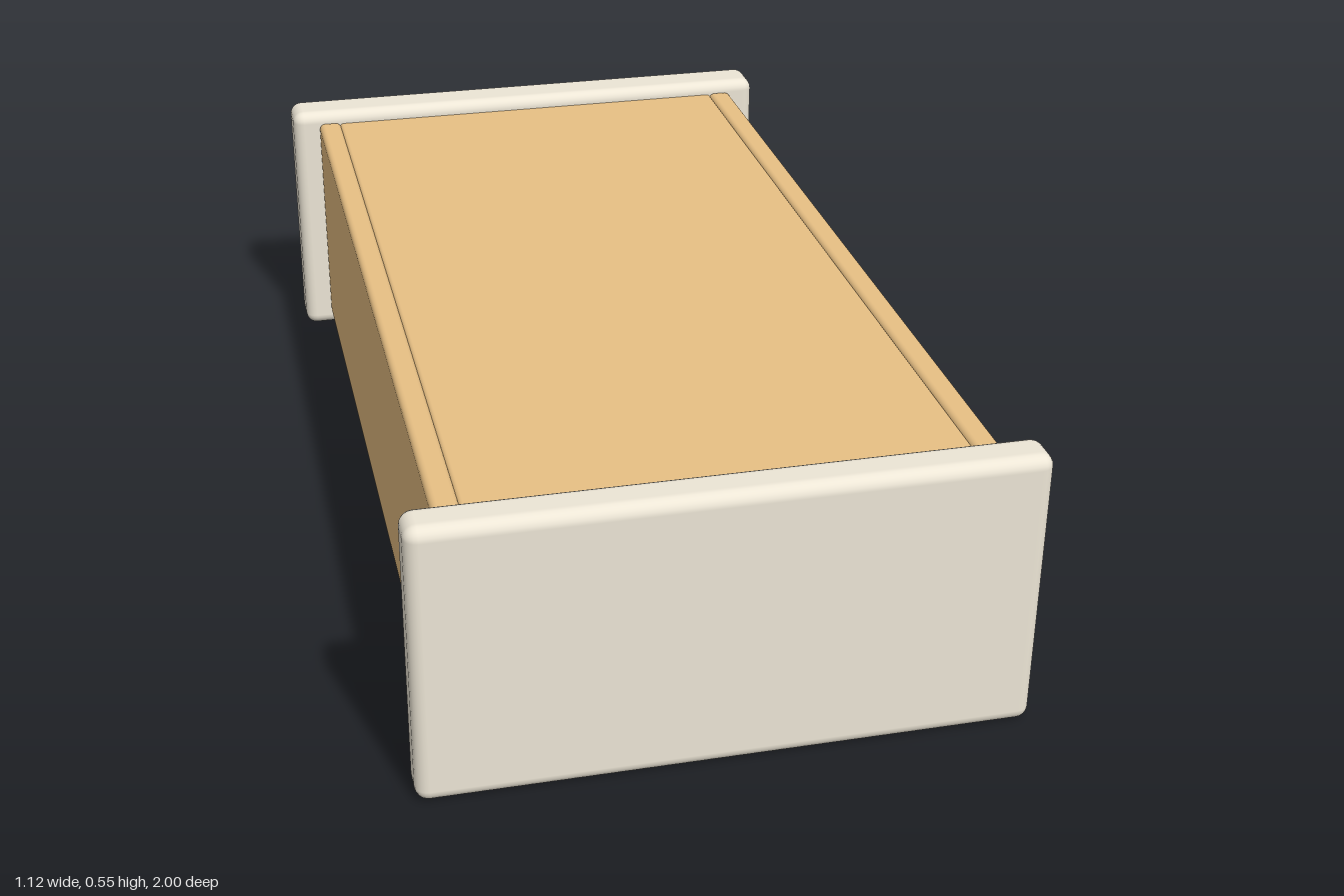
import * as THREE from 'three';
import { RoundedBoxGeometry } from 'three/addons/geometries/RoundedBoxGeometry.js';

const mat = (color) => new THREE.MeshStandardMaterial({ color });
const cream = mat(0xede6d6), wood = mat(0xe8c084), trim = mat(0xc87a1c);
const pink = mat(0xe06c78), green = mat(0x6cc8a0), purple = mat(0x9484c8);

function add(parent, name, geometry, material, x = 0, y = 0, z = 0) {
  const mesh = new THREE.Mesh(geometry, material);
  mesh.name = name;
  mesh.position.set(x, y, z);
  parent.add(mesh);
  return mesh;
}

// Box given by its limits on each axis, with rounded edges when r > 0
function box(parent, name, material, [x0, x1], [y0, y1], [z0, z1], r = 0) {
  const s = [x1 - x0, y1 - y0, z1 - z0];
  const g = r ? new RoundedBoxGeometry(...s, 3, r) : new THREE.BoxGeometry(...s);
  return add(parent, name, g, material, (x0 + x1) / 2, (y0 + y1) / 2, (z0 + z1) / 2);
}

// Rod along 'x', 'y' or 'z' with round ends
function rod(parent, name, material, axis, length, r, x, y, z) {
  const g = new THREE.CapsuleGeometry(r, length - 2 * r, 6, 14);
  if (axis === 'x') g.rotateZ(Math.PI / 2);
  if (axis === 'z') g.rotateX(Math.PI / 2);
  return add(parent, name, g, material, x, y, z);
}

// Panelled door facing down, with two nested trim frames
function door(parent, name, [x0, x1], [z0, z1], handleX, handleZ) {
  const g = new THREE.Group();
  g.name = name;
  parent.add(g);
  box(g, 'doorPanel', wood, [x0, x1], [0.032, 0.05], [z0, z1], 0.006);
  [[0, 0.022, 0.022], [0.04, 0.012, 0.026]].forEach(([inset, w, y]) => {
    const a = x0 + inset, b = x1 - inset, c = z0 + inset, d = z1 - inset;
    for (const x of [a, b - w]) box(g, 'doorTrim', trim, [x, x + w], [y, 0.04], [c, d], 0.004);
    for (const z of [c, d - w]) box(g, 'doorTrim', trim, [a, b], [y, 0.04], [z, z + w], 0.004);
  });
  rod(g, 'doorHandle', trim, 'z', 0.2, 0.01, handleX, 0.023, handleZ);
  return g;
}

export function createModel() {
  const model = new THREE.Group();
  model.name = 'cabinet';

  // End boards with trim along their lower edges
  box(model, 'frontEndBoard', cream, [-0.56, 0.56], [0, 0.55], [0.913, 1], 0.025);
  box(model, 'backEndBoard', cream, [-0.56, 0.56], [0, 0.55], [-1, -0.895], 0.025);
  for (const z of [0.95, -0.945])
    box(model, 'endBoardTrim', trim, [-0.52, 0.52], [-0.001, 0.01], [z - 0.012, z + 0.012]);
  for (const s of [-1, 1])
    box(model, 'backEdgeTrim', trim, [s * 0.45 - 0.003, s * 0.45 + 0.003], [0.04, 0.51], [-1.0005, -0.99]);

  // Carcass
  for (const s of [-1, 1])
    box(model, 'sidePanel', wood, [s * 0.475 - 0.025, s * 0.475 + 0.025], [0.03, 0.525], [-0.9, 0.918], 0.012);
  box(model, 'rearPanel', wood, [-0.452, 0.452], [0.49, 0.522], [-0.9, 0.915], 0.008);
  box(model, 'lowerCupboard', cream, [-0.45, 0.45], [0.045, 0.495], [0.33, 0.915]);
  box(model, 'upperCupboard', cream, [-0.45, 0.45], [0.045, 0.495], [-0.9, -0.41]);
  box(model, 'divider', cream, [-0.21, -0.18], [0.05, 0.495], [-0.41, 0.33]);
  box(model, 'sideShelf', cream, [-0.45, -0.21], [0.05, 0.495], [-0.04, -0.01]);

  // Doors
  for (const s of [-1, 1])
    door(model, 'lowerDoor', s < 0 ? [-0.42, -0.02] : [0.02, 0.42], [0.37, 0.86], s * 0.055, 0.61);
  door(model, 'upperDoor', [-0.42, 0.42], [-0.85, -0.45], -0.355, -0.65);
  rod(model, 'doorPost', trim, 'z', 0.5, 0.012, 0, 0.036, 0.615);

  // Paw ornament
  const paw = new THREE.Group();
  paw.name = 'pawOrnament';
  paw.position.set(0.11, 0.03, -0.66);
  model.add(paw);
  const bead = (name, r, x, z) =>
    add(paw, name, new THREE.SphereGeometry(r, 16, 10), trim, x, 0, z).scale.set(1.15, 0.3, 1);
  bead('pawPad', 0.038, 0, 0.01);
  [-0.062, -0.022, 0.022, 0.062].forEach((x, i) =>
    bead('pawToe', 0.016, x, i % 3 ? -0.055 : -0.03));

  // Stack of books on the open shelf
  [[cream, 0.295, 0.33], [green, 0.24, 0.29], [trim, 0.222, 0.238],
    [cream, 0.19, 0.22], [trim, 0.172, 0.188], [pink, 0.115, 0.17]].forEach(([m, z0, z1], i) => {
    const b = box(model, 'book', m, [-0.15, 0.38], [0.12, 0.44], [z0, z1], 0.006);
    b.rotation.z = (i % 3 - 1) * 0.03;
  });

  // Rolled towels tied with a band
  [[purple, -0.13, 0.075], [pink, 0.235, 0.09]].forEach(([m, z, r]) => {
    add(model, 'rolledTowel', new THREE.CylinderGeometry(r, r, 0.34, 24), m, -0.33, 0.26, z);
    for (const y of [0.1, 0.2])
      add(model, 'towelBand', new THREE.TorusGeometry(r, 0.009, 8, 28).rotateX(Math.PI / 2), trim, -0.33, y, z);
  });

  // Towel rail and hanging striped towel on the left side
  rod(model, 'towelRail', trim, 'y', 0.33, 0.017, 0.518, 0.277, -0.12);
  for (const y of [0.15, 0.4])
    box(model, 'railBracket', trim, [0.495, 0.52], [y - 0.012, y + 0.012], [-0.132, -0.108]);
  const back = add(model, 'towelBackLayer', new RoundedBoxGeometry(0.018, 0.29, 0.33, 2, 0.006), cream, 0.512, 0.272, 0.083);
  back.rotation.x = -0.05;
  const towel = new THREE.Group();
  towel.name = 'towelFrontLayer';
  towel.position.set(0.535, 0.315, 0.075);
  towel.rotation.set(0.06, -0.05, 0);
  model.add(towel);
  add(towel, 'towelCloth', new RoundedBoxGeometry(0.018, 0.235, 0.32, 2, 0.006), cream);
  [[pink, -0.04], [green, 0.033], [pink, 0.105]].forEach(([m, z]) =>
    add(towel, 'towelStripe', new RoundedBoxGeometry(0.024, 0.232, 0.038, 2, 0.004), m, 0, 0, z));

  return model;
}
